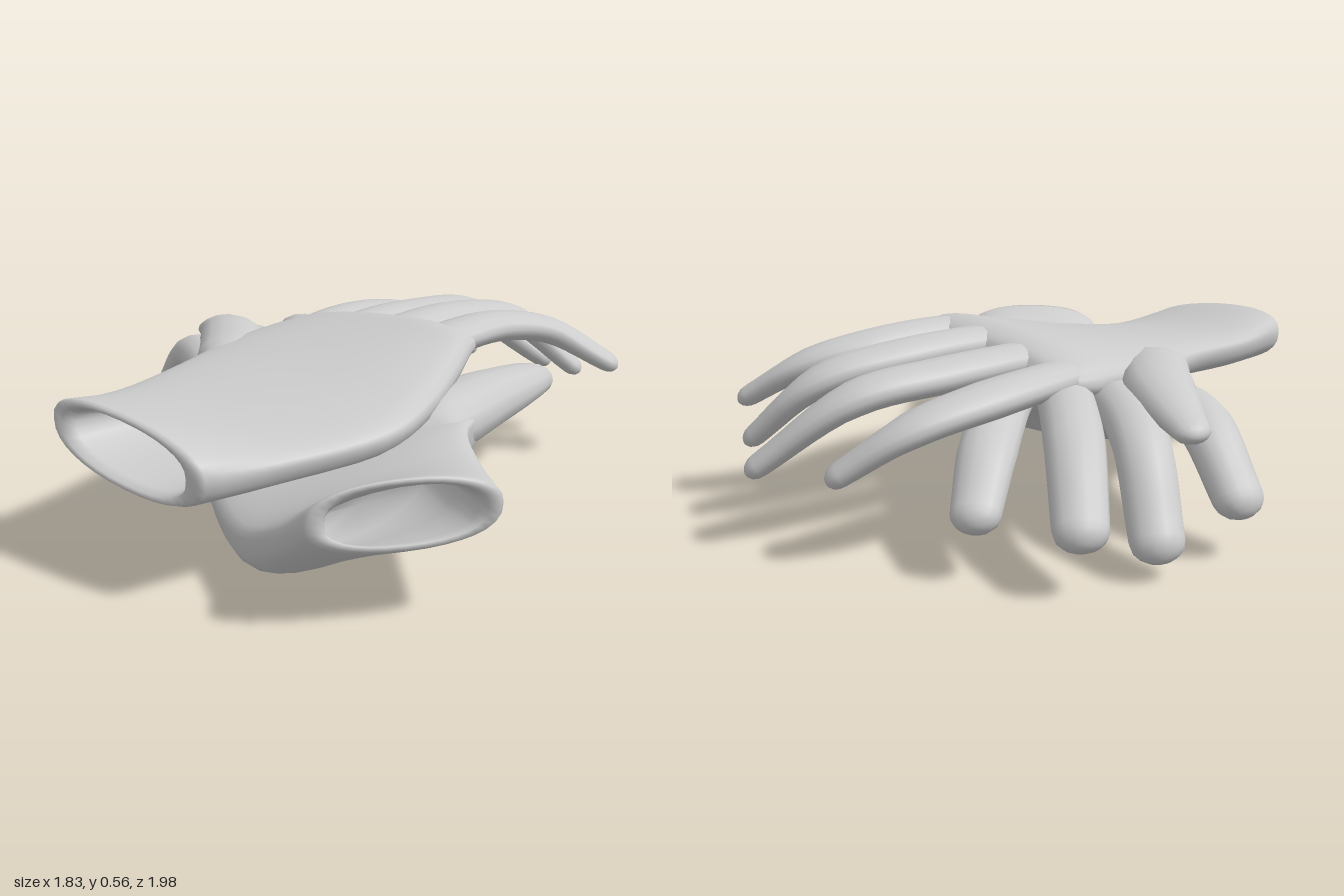
import * as THREE from 'three';

const V = (x, y, z) => new THREE.Vector3(x, y, z);
const material = new THREE.MeshStandardMaterial({ color: 0xcccccc, side: THREE.DoubleSide });

// Skin a list of closed rings and cap both ends
function loft(name, rings) {
  const n = rings[0].length, pos = [], index = [];
  const push = (p) => pos.push(p.x, p.y, p.z);
  const centre = (ring) => ring.reduce((s, p) => s.add(p), V(0, 0, 0)).divideScalar(n);
  rings.forEach((ring) => ring.forEach(push));
  const first = rings.length * n, last = (rings.length - 1) * n;
  push(centre(rings[0]));
  push(centre(rings[rings.length - 1]));
  for (let j = 0; j < n; j++) {
    const k = (j + 1) % n;
    for (let i = 0; i < rings.length - 1; i++) {
      const a = i * n + j, b = i * n + k, c = a + n, d = b + n;
      index.push(a, c, b, b, c, d);
    }
    index.push(first, j, k, first + 1, last + k, last + j);
  }
  const geometry = new THREE.BufferGeometry();
  geometry.setAttribute('position', new THREE.Float32BufferAttribute(pos, 3));
  geometry.setIndex(index);
  geometry.computeVertexNormals();
  const mesh = new THREE.Mesh(geometry, material);
  mesh.name = name;
  return mesh;
}

// Finger: points are [x, y, z, half width]; flat is thickness over width
function finger(name, points, flat) {
  const curve = new THREE.CatmullRomCurve3(points.map((p) => V(p[0], p[1], p[2])));
  const steps = 24, rings = [];
  const ring = (t, shrink, ahead) => {
    const f = t * (points.length - 1), i = Math.min(Math.floor(f), points.length - 2);
    const r = THREE.MathUtils.lerp(points[i][3], points[i + 1][3], f - i);
    const dir = curve.getTangent(t);
    const side = dir.clone().cross(V(0, 1, 0)).normalize();
    const up = side.clone().cross(dir);
    const c = curve.getPoint(t).addScaledVector(dir, ahead * r);
    rings.push(Array.from({ length: 14 }, (_, j) => {
      const a = (j / 14) * Math.PI * 2;
      return c.clone().addScaledVector(side, Math.cos(a) * r * shrink)
        .addScaledVector(up, Math.sin(a) * r * flat * shrink);
    }));
  };
  for (let i = 0; i <= steps; i++) ring(i / steps, 1, 0);
  // rounded tip
  for (const a of [0.4, 0.8, 1.15, 1.4]) ring(1, Math.cos(a), Math.sin(a) * 0.8);
  return loft(name, rings);
}

// Palm with hollow cuff: sections are [left xyz, right xyz, rise, drop]
function palm(name, sections) {
  const n = 32;
  const base = sections.map(([l, r, rise, drop]) => Array.from({ length: n }, (_, j) => {
    const a = (j / n) * Math.PI * 2, c = Math.cos(a), s = Math.sin(a);
    const u = Math.sign(c) * Math.abs(c) ** 0.9;
    const p = V(...l).lerp(V(...r), 0.5 + 0.5 * u);
    p.y += Math.sign(s) * Math.abs(s) ** 0.8 * (s > 0 ? rise : drop);
    return p;
  }));
  const lines = base[0].map((_, j) => new THREE.CatmullRomCurve3(base.map((ring) => ring[j])));
  const at = (t, scale) => {
    const ring = lines.map((line) => line.getPoint(t));
    const c = ring.reduce((s, p) => s.add(p), V(0, 0, 0)).divideScalar(n);
    return ring.map((p) => p.sub(c).multiplyScalar(scale).add(c));
  };
  // lining from deep inside out to the rim, then the outer skin
  const rings = [at(0.25, 0.6), at(0.12, 0.7), at(0.02, 0.77), at(0, 0.83), at(0, 0.96)];
  for (let i = 0; i <= 30; i++) rings.push(at(0.01 + (0.99 * i) / 30, 1));
  return loft(name, rings);
}

function glove(name, sections, digits, flat) {
  const group = new THREE.Group();
  group.name = name;
  group.add(palm('palmAndCuff', sections));
  for (const [part, points] of Object.entries(digits)) group.add(finger(part, points, flat));
  return group;
}

export function createModel() {
  const model = new THREE.Group();
  model.name = 'pairOfGloves';

  // Upper glove, fingers pointing to the back, index side lower than little side
  model.add(glove('upperGlove', [
    [[-0.3, 0.41, 0.99], [0.29, 0.35, 0.99], 0.1, 0.12],
    [[-0.32, 0.4, 0.75], [0.36, 0.34, 0.75], 0.06, 0.11],
    [[-0.35, 0.41, 0.45], [0.48, 0.36, 0.42], 0.07, 0.11],
    [[-0.4, 0.41, 0.2], [0.47, 0.4, 0.2], 0.09, 0.11],
    [[-0.39, 0.41, 0], [0.42, 0.45, 0], 0.1, 0.09],
    [[-0.38, 0.41, -0.1], [0.39, 0.48, -0.1], 0.095, 0.07],
    [[-0.35, 0.42, -0.17], [0.36, 0.48, -0.17], 0.065, 0.05],
    [[-0.3, 0.43, -0.2], [0.31, 0.48, -0.2], 0.02, 0.02],
  ], {
    indexFinger: [[-0.2, 0.41, 0.12, 0.02], [-0.27, 0.43, -0.12, 0.085], [-0.29, 0.42, -0.45, 0.09],
      [-0.24, 0.37, -0.69, 0.08], [-0.12, 0.25, -0.85, 0.06]],
    middleFinger: [[-0.07, 0.44, 0.12, 0.02], [-0.1, 0.46, -0.12, 0.085], [-0.08, 0.455, -0.45, 0.09],
      [-0.01, 0.42, -0.72, 0.085], [0.16, 0.23, -0.94, 0.058]],
    ringFinger: [[0.08, 0.46, 0.12, 0.02], [0.09, 0.485, -0.12, 0.085], [0.12, 0.48, -0.45, 0.088],
      [0.2, 0.43, -0.69, 0.08], [0.35, 0.26, -0.83, 0.057]],
    littleFinger: [[0.21, 0.46, 0.12, 0.02], [0.27, 0.49, -0.12, 0.085], [0.3, 0.485, -0.4, 0.085],
      [0.39, 0.44, -0.6, 0.075], [0.54, 0.33, -0.73, 0.057]],
    thumb: [[-0.18, 0.4, 0.45, 0.02], [-0.33, 0.41, 0.24, 0.11], [-0.5, 0.41, 0.06, 0.11],
      [-0.65, 0.39, -0.05, 0.085], [-0.76, 0.36, -0.11, 0.06]],
  }, 0.6));

  // Lower glove, turned sideways beneath the other one
  model.add(glove('lowerGlove', [
    [[0.58, 0.3, 0.92], [0.91, 0.31, 0.53], 0.1, 0.1],
    [[0.42, 0.2, 0.87], [0.73, 0.31, 0.36], 0.07, 0.14],
    [[0.24, 0.13, 0.81], [0.58, 0.33, 0.2], 0.06, 0.2],
    [[0.02, 0.12, 0.68], [0.5, 0.33, 0], 0.07, 0.19],
    [[-0.22, 0.21, 0.51], [0.28, 0.35, -0.06], 0.07, 0.14],
    [[-0.37, 0.29, 0.37], [0.04, 0.36, -0.17], 0.06, 0.09],
    [[-0.43, 0.32, 0.25], [-0.11, 0.35, -0.19], 0.04, 0.05],
    [[-0.42, 0.34, 0.19], [-0.17, 0.35, -0.17], 0.01, 0.01],
  ], {
    indexFinger: [[0.18, 0.32, 0.12, 0.04], [0.02, 0.33, -0.08, 0.105], [-0.16, 0.335, -0.28, 0.09],
      [-0.34, 0.28, -0.5, 0.088], [-0.46, 0.17, -0.65, 0.072]],
    middleFinger: [[-0.04, 0.33, 0.08, 0.02], [-0.23, 0.36, -0.08, 0.09], [-0.55, 0.33, -0.36, 0.088],
      [-0.74, 0.17, -0.53, 0.078]],
    ringFinger: [[-0.1, 0.32, 0.18, 0.02], [-0.31, 0.35, 0.05, 0.09], [-0.62, 0.31, -0.16, 0.088],
      [-0.8, 0.09, -0.29, 0.08]],
    littleFinger: [[-0.14, 0.28, 0.36, 0.02], [-0.38, 0.32, 0.23, 0.09], [-0.67, 0.32, 0.07, 0.088],
      [-0.86, 0.16, -0.01, 0.078]],
    thumb: [[0.32, 0.27, 0.4, 0.03], [0.41, 0.31, 0.15, 0.14], [0.435, 0.33, -0.1, 0.115],
      [0.41, 0.31, -0.36, 0.09], [0.37, 0.28, -0.53, 0.07]],
  }, 0.76));

  return model;
}
